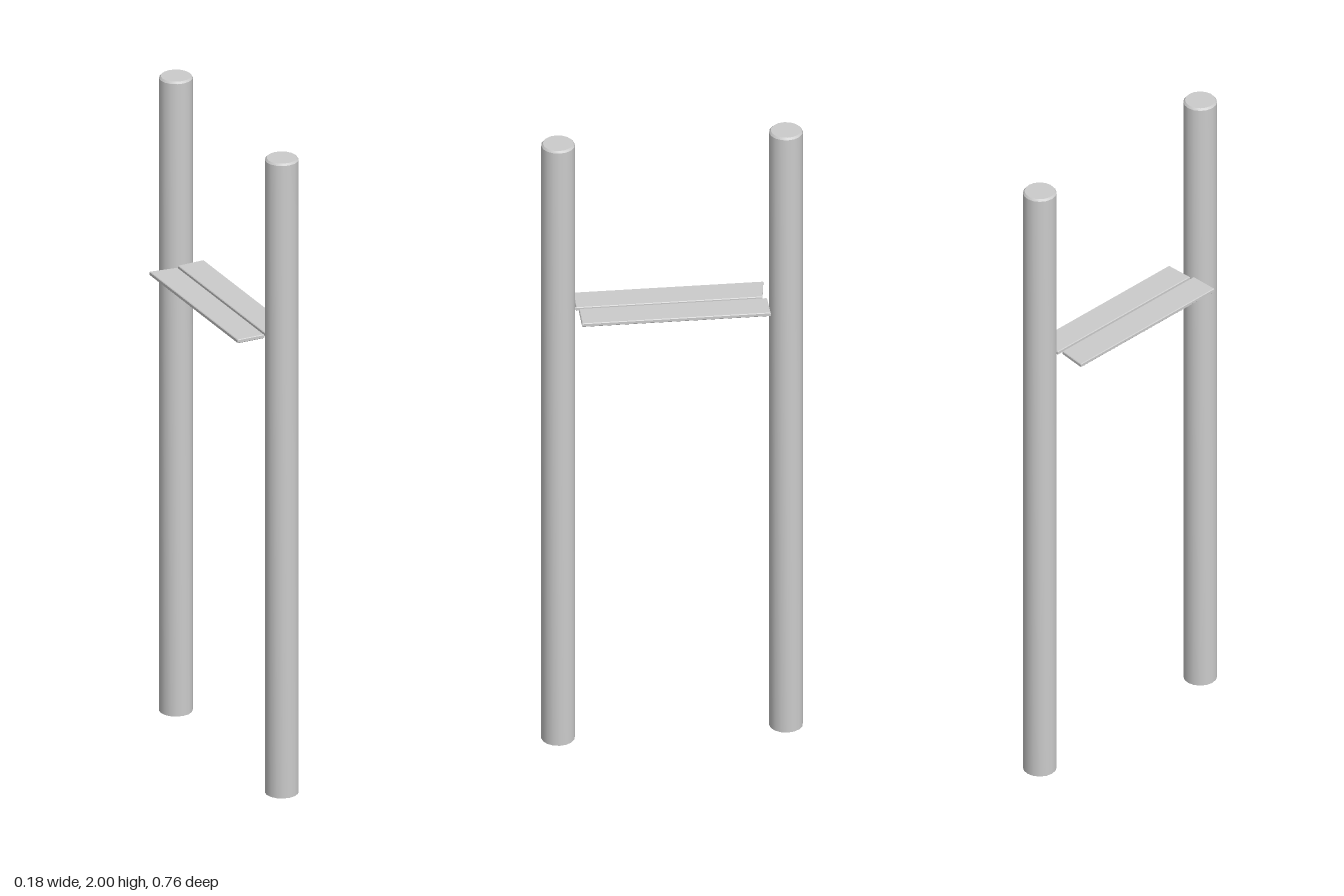
import * as THREE from 'three';
import { toCreasedNormals } from 'three/addons/utils/BufferGeometryUtils.js';

const material = new THREE.MeshStandardMaterial({ color: 0xcccccc, side: THREE.DoubleSide });

// Round post with an open foot and a small chamfer below its flat top.
function makePost(name, z) {
  const profile = [[0.049, 0], [0.049, 1.994], [0.044, 2], [0, 2]]
    .map(([r, y]) => new THREE.Vector2(r, y));
  const geometry = toCreasedNormals(new THREE.LatheGeometry(profile, 16), 0.5);
  const post = new THREE.Mesh(geometry, material);
  post.name = name;
  post.position.set(0.024, 0, z);
  return post;
}

// Thin plank cut from an outline of [x, z] corners, with finely bevelled edges.
function makePlank(name, corners) {
  const bevel = 0.002, thickness = 0.012;
  const shape = new THREE.Shape(corners.map(([x, z]) => new THREE.Vector2(x, -z)));
  const geometry = new THREE.ExtrudeGeometry(shape, {
    depth: thickness - 2 * bevel, bevelEnabled: true, bevelSegments: 1,
    bevelSize: bevel, bevelThickness: bevel, bevelOffset: -bevel,
  });
  geometry.rotateX(-Math.PI / 2);
  const plank = new THREE.Mesh(geometry, material);
  plank.name = name;
  plank.position.y = 1.414 + bevel;
  return plank;
}

export function createModel() {
  const model = new THREE.Group();
  model.name = 'postsWithShelf';

  // Two upright posts
  model.add(makePost('frontPost', 0.331), makePost('backPost', -0.331));

  // Two roughly cut planks side by side between the posts
  model.add(
    makePlank('rightPlank', [[-0.09, 0.274], [-0.004, 0.276], [-0.004, -0.266], [-0.09, -0.278]]),
    makePlank('leftPlank', [[0.003, 0.268], [0.088, 0.268], [0.088, -0.28], [0.003, -0.278]]),
  );
  return model;
}
